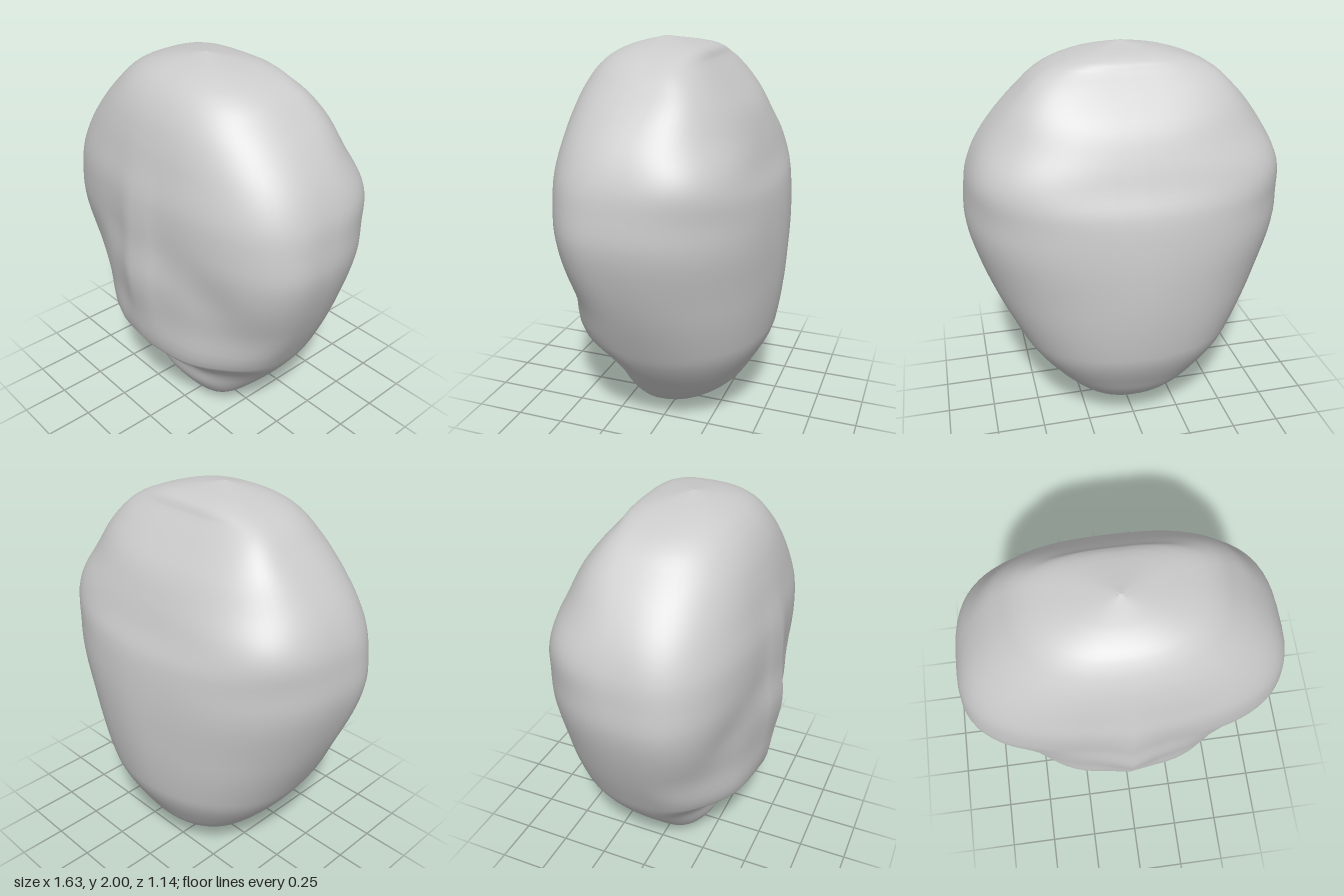
import * as THREE from 'three';

// Head sections, bottom to top: y, half width, front z, muzzle depth, back z, z of widest point
const SECTIONS = [
  [0.00, 0.00, 0.07, 0.00, 0.07, 0.07],
  [0.03, 0.13, 0.13, 0.00, -0.08, 0.06],
  [0.10, 0.24, 0.20, 0.00, -0.22, 0.04],
  [0.21, 0.35, 0.24, 0.03, -0.35, 0.02],
  [0.33, 0.455, 0.27, 0.03, -0.43, 0.01],
  [0.44, 0.535, 0.32, 0.09, -0.49, 0.01],
  [0.53, 0.585, 0.37, 0.11, -0.52, 0.02],
  [0.75, 0.69, 0.43, 0.07, -0.55, 0.05],
  [0.96, 0.77, 0.49, 0.03, -0.56, 0.09],
  [1.14, 0.812, 0.51, 0.00, -0.555, 0.11],
  [1.30, 0.805, 0.515, 0.00, -0.535, 0.10],
  [1.42, 0.785, 0.51, 0.00, -0.49, 0.08],
  [1.55, 0.73, 0.485, 0.00, -0.445, 0.05],
  [1.68, 0.64, 0.455, 0.00, -0.385, 0.01],
  [1.80, 0.53, 0.41, 0.00, -0.29, -0.02],
  [1.90, 0.41, 0.335, 0.00, -0.20, -0.02],
  [1.96, 0.24, 0.23, 0.00, -0.14, 0.02],
  [2.00, 0.00, 0.07, 0.00, 0.07, 0.07],
];
const AROUND = 72;
const STEPS = 4;

const bell = (v, centre, width) => Math.exp(-(((v - centre) / width) ** 2));
const power = (v, p) => Math.sign(v) * Math.abs(v) ** p;
const plateau = (v, width) => Math.exp(-((v / width) ** 4));
const { smoothstep } = THREE.MathUtils;

// Smooth blend through the section table, with slopes measured along y
function sectionAt(i, t) {
  const row = (k) => SECTIONS[Math.min(Math.max(k, 0), SECTIONS.length - 1)];
  const [r0, r1, r2, r3] = [row(i - 1), row(i), row(i + 1), row(i + 2)];
  const gap = r2[0] - r1[0], t2 = t * t, t3 = t2 * t;
  return r1.map((p1, c) => {
    const m1 = ((r2[c] - r0[c]) / (r2[0] - r0[0])) * gap;
    const m2 = ((r3[c] - p1) / (r3[0] - r1[0])) * gap;
    return (2 * t3 - 3 * t2 + 1) * p1 + (t3 - 2 * t2 + t) * m1
      + (3 * t2 - 2 * t3) * r2[c] + (t3 - t2) * m2;
  });
}

// Squareness of the corners: boxy jaw in front; boxy crown and widest part behind
const frontSquareness = (y) => 2.45 + 0.75 * bell(y, 0.56, 0.14);
const rearSquareness = (y) => 2.25 + 0.25 * smoothstep(y, 0.8, 1.2)
  + 0.55 * bell(y, 1.44, 0.13) + 0.9 * bell(y, 1.86, 0.14);

function headGeometry() {
  const positions = [], indices = [];
  const rows = (SECTIONS.length - 1) * STEPS;
  for (let r = 0; r <= rows; r++) {
    const i = Math.min(Math.floor(r / STEPS), SECTIONS.length - 2);
    const [y, halfWidth, front, muzzle, back, mid] = sectionAt(i, r / STEPS - i);
    const muzzleWidth = 0.31 + 0.14 * smoothstep(y, 0.36, 0.56);
    for (let j = 0; j < AROUND; j++) {
      const a = (j / AROUND) * Math.PI * 2;
      const p = 2 / (j <= AROUND / 2 ? frontSquareness(y) : rearSquareness(y));
      const x = Math.max(halfWidth, 0) * power(Math.cos(a), p);
      const s = power(Math.sin(a), p);
      let z = mid + s * (s > 0 ? front - mid : mid - back);
      if (s > 0) {
        z += s * muzzle * plateau(x, muzzleWidth); // muzzle and lips
        z -= s * 0.025 * bell(y, 0.43, 0.05) * plateau(x, 0.17); // mouth
        z += s * 0.05 * bell(x, 0, 0.1) * bell(y, 1.0, 0.45); // nose ridge
        z -= s * 0.022 * bell(Math.abs(x), 0.44, 0.17) * bell(y, 0.98, 0.13); // eye hollows
      } else {
        z += s * 0.012 * bell(x, 0, 0.12) * bell(y, 0.9, 0.5); // ridge down the back
      }
      positions.push(x, y, z);
    }
  }
  for (let r = 0; r < rows; r++) {
    for (let j = 0; j < AROUND; j++) {
      const k = (j + 1) % AROUND;
      const a = r * AROUND + j, b = r * AROUND + k;
      const c = a + AROUND, d = b + AROUND;
      if (r > 0) indices.push(a, d, b);
      if (r < rows - 1) indices.push(a, c, d);
    }
  }
  const geometry = new THREE.BufferGeometry();
  geometry.setAttribute('position', new THREE.Float32BufferAttribute(positions, 3));
  geometry.setIndex(indices);
  geometry.computeVertexNormals();
  return geometry;
}

export function createModel() {
  const group = new THREE.Group();
  group.name = 'headModel';
  const grey = new THREE.MeshStandardMaterial({ color: 0xcccccc });
  grey.name = 'plain grey';
  const head = new THREE.Mesh(headGeometry(), grey);
  head.name = 'head';
  group.add(head);
  return group;
}
